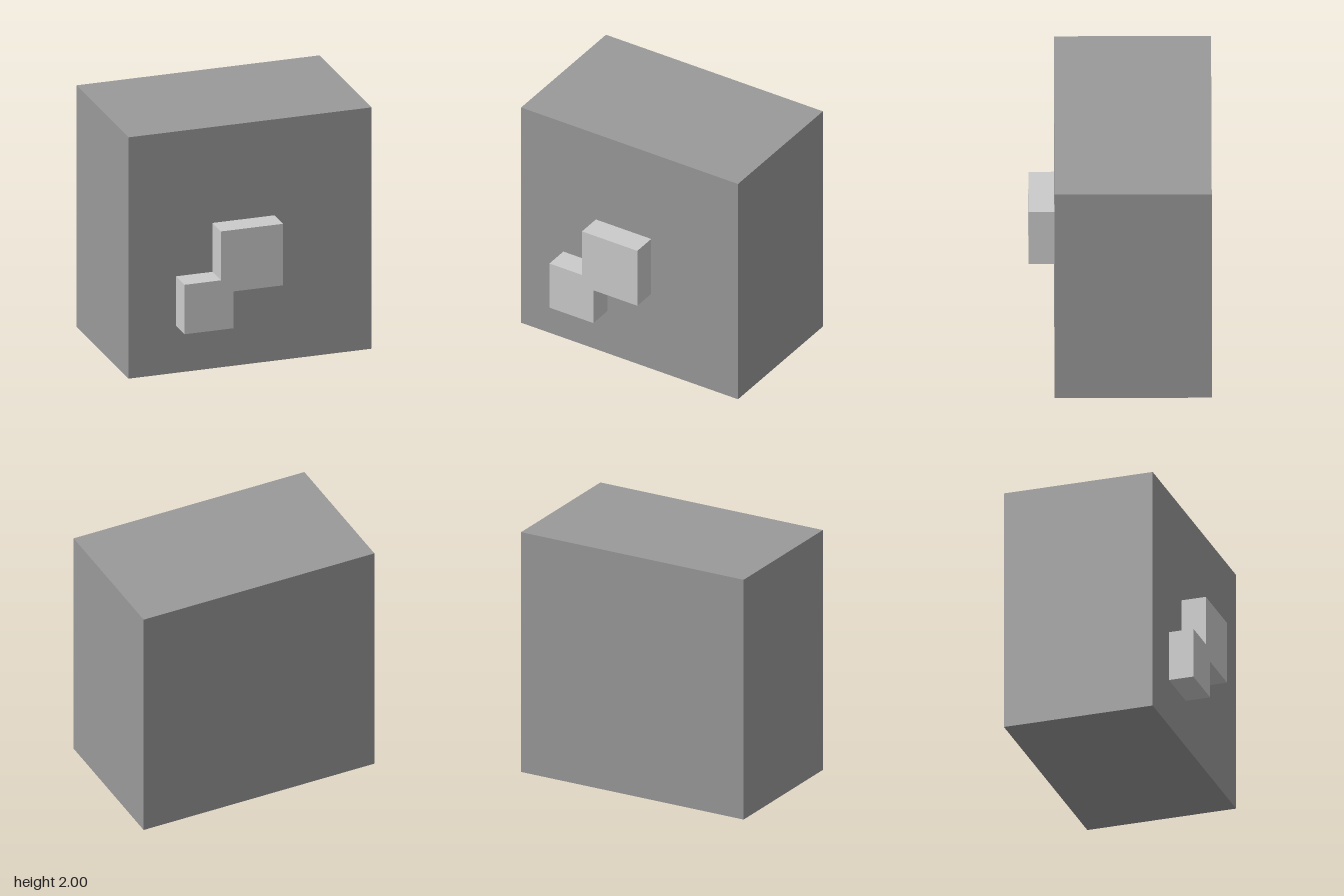
import * as THREE from 'three';

const BACK = -0.71, FRONT = 0.51, RELIEF = 0.2;

export function createModel() {
  const group = new THREE.Group();

  // Main block
  const depth = FRONT - BACK;
  const body = new THREE.Mesh(
    new THREE.BoxGeometry(2, 2, depth),
    new THREE.MeshStandardMaterial({ color: 0x999999 })
  );
  body.name = 'body';
  body.position.set(0, 1, (FRONT + BACK) / 2);
  group.add(body);

  // Raised relief on the front: two overlapping squares as one outline
  const outline = [
    [-0.61, 0.39], [-0.205, 0.39], [-0.205, 0.695], [0.2, 0.695],
    [0.2, 1.205], [-0.31, 1.205], [-0.31, 0.8], [-0.61, 0.8],
  ].map(([x, y]) => new THREE.Vector2(x, y));
  const relief = new THREE.Mesh(
    new THREE.ExtrudeGeometry(new THREE.Shape(outline), { depth: RELIEF, bevelEnabled: false }),
    new THREE.MeshStandardMaterial({ color: 0xcccccc })
  );
  relief.name = 'frontRelief';
  relief.position.z = FRONT;
  group.add(relief);

  return group;
}
